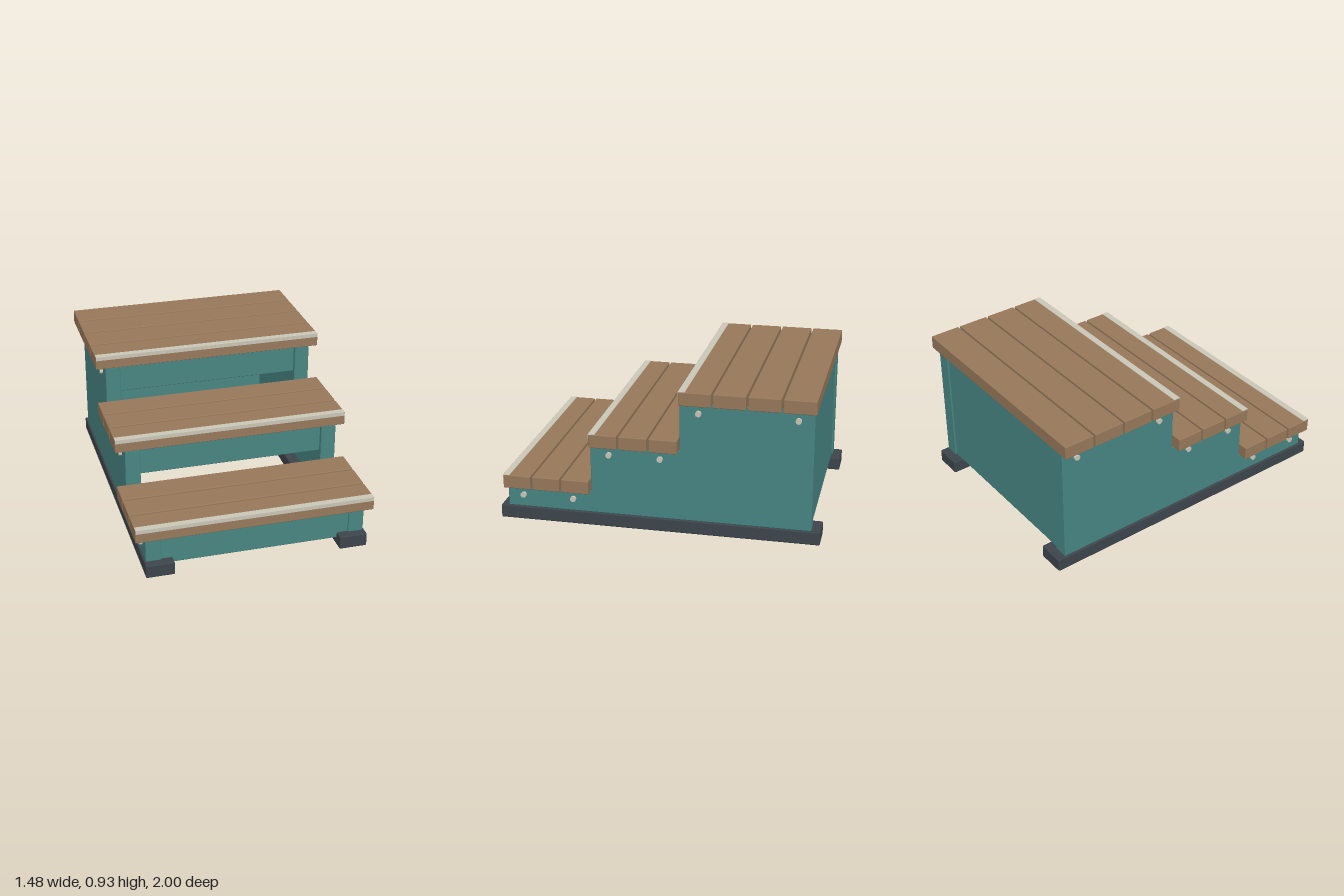
import * as THREE from 'three';
import { RoundedBoxGeometry } from 'three/addons/geometries/RoundedBoxGeometry.js';

const wood = new THREE.MeshStandardMaterial({ name: 'wood', color: 0x96785a });
const teal = new THREE.MeshStandardMaterial({ name: 'teal paint', color: 0x478582 });
const slate = new THREE.MeshStandardMaterial({ name: 'dark slate', color: 0x3c454b });
const cream = new THREE.MeshStandardMaterial({ name: 'cream metal', color: 0xc9c5b6 });

// Treads: deck underside, and the front and back edge of each board row
const BOARD = 0.085;
const steps = [
  { y: 0.225, front: 0.96, back: 0.418, boards: 3, bolts: [0.85, 0.53] },
  { y: 0.535, front: 0.41, back: -0.135, boards: 3, bolts: [0.298, -0.02] },
  { y: 0.845, front: -0.143, back: -0.96, boards: 4, bolts: [-0.255, -0.85] },
];

export function createModel() {
  const group = new THREE.Group();
  group.name = 'steps';

  // Softly bevelled box given by its minimum and maximum corners
  const box = (name, mat, [x0, y0, z0], [x1, y1, z1], r = 0.005) => {
    const mesh = new THREE.Mesh(new RoundedBoxGeometry(x1 - x0, y1 - y0, z1 - z0, 2, r), mat);
    mesh.position.set((x0 + x1) / 2, (y0 + y1) / 2, (z0 + z1) / 2);
    mesh.name = name;
    group.add(mesh);
  };

  // Stepped side profile, drawn with shape x = -z of the model
  const b = 0.004;
  const profile = new THREE.Shape([
    [-0.95 + b, 0.085 + b], [0.945 - b, 0.085 + b], [0.945 - b, 0.845 - b], [0.14 + b, 0.845 - b],
    [0.14 + b, 0.535 - b], [-0.415 + b, 0.535 - b], [-0.415 + b, 0.225 - b], [-0.95 + b, 0.225 - b],
  ].map(([x, y]) => new THREE.Vector2(x, y)));
  const sideGeometry = new THREE.ExtrudeGeometry(profile, {
    depth: 0.095 - 2 * b, bevelSize: b, bevelThickness: b, bevelSegments: 1,
  });
  sideGeometry.translate(0, 0, -0.0475 + b).rotateY(Math.PI / 2);

  const boltGeometry = new THREE.CylinderGeometry(0.018, 0.018, 0.03, 16).rotateZ(Math.PI / 2);

  for (const s of [-1, 1]) {
    // Ground skids
    box('skid', slate, [s * 0.6025 - 0.0875, 0, -1], [s * 0.6025 + 0.0875, 0.085, 1], 0.008);

    // Side panels
    const side = new THREE.Mesh(sideGeometry, teal);
    side.position.x = s * 0.6325;
    side.name = 'sidePanel';
    group.add(side);

    // Bolt heads
    for (const { y, bolts } of steps) for (const z of bolts) {
      const bolt = new THREE.Mesh(boltGeometry, cream);
      bolt.position.set(s * 0.683, y - 0.06, z);
      bolt.name = 'bolt';
      group.add(bolt);
    }
  }

  for (const { y, front, back, boards } of steps) {
    // Deck boards
    const gap = 0.012;
    const depth = (front - back - gap * (boards - 1)) / boards;
    for (let i = 0; i < boards; i++) {
      const z = front - i * (depth + gap);
      box('treadBoard', wood, [-0.74, y, z - depth], [0.74, y + BOARD, z]);
    }

    // Nosing strip let into the front top edge
    box('nosing', cream, [-0.738, y + 0.06, front - 0.04], [0.738, y + BOARD + 0.003, front + 0.002], 0.002);

    // Riser, set slightly back from the side panels
    box('riser', teal, [-0.586, y - 0.175, front - 0.06], [0.586, y - 0.005, front - 0.02]);
  }

  // Back panel
  box('backPanel', teal, [-0.586, 0.085, -0.937], [0.586, 0.84, -0.9]);

  return group;
}
